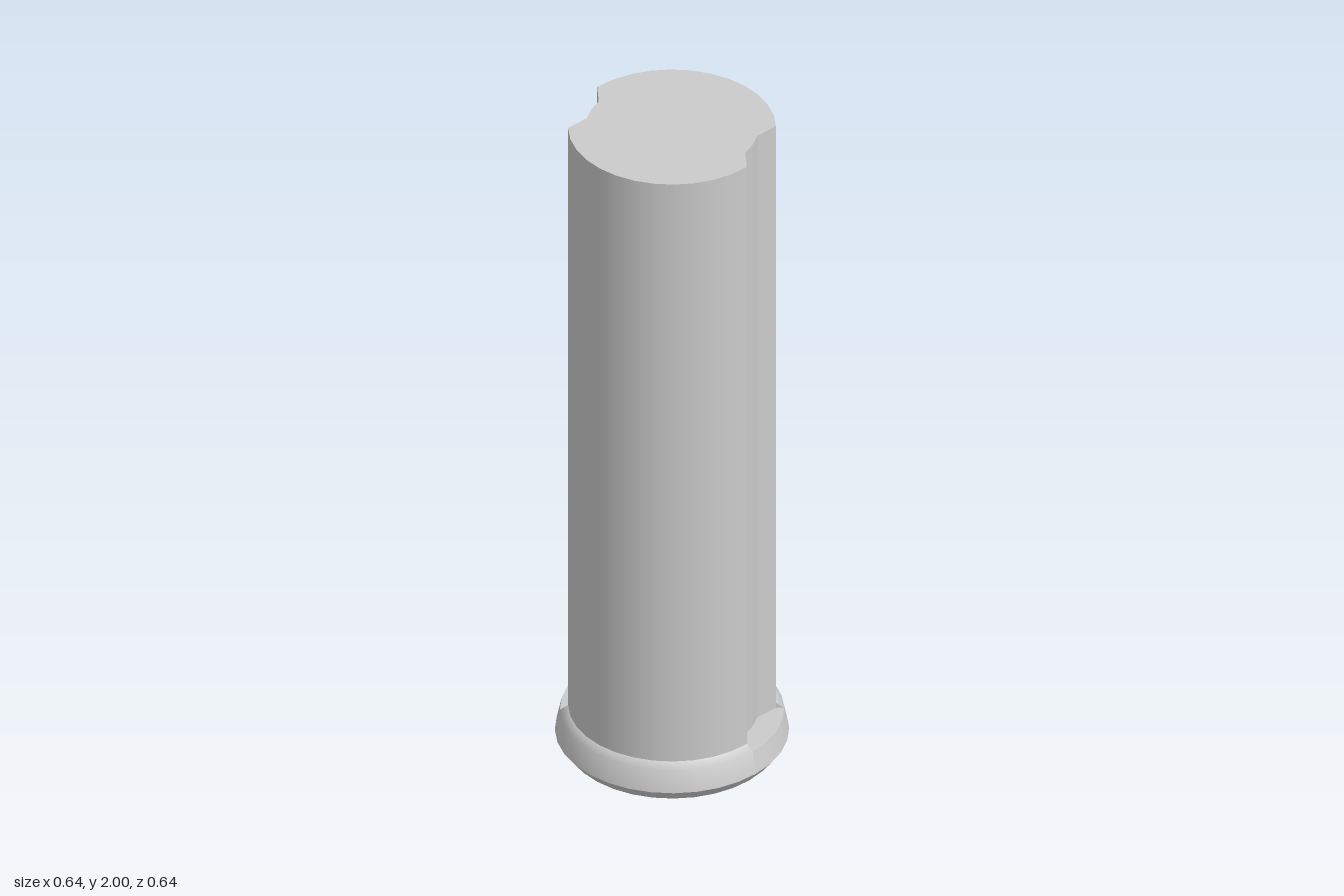
import * as THREE from 'three';

const STEP = Math.PI / 16;               // 32 sides around
const R = 0.283, RIM = 0.305, FLOOR = 0.1, SHOULDER = 0.115, TOP = 2;
const NOTCH = 2 * STEP;                  // half angle of each groove
const v2 = (x, y) => new THREE.Vector2(x, y);

export function createModel() {
  const group = new THREE.Group();
  const material = new THREE.MeshStandardMaterial({ color: 0xcccccc, side: THREE.DoubleSide });
  const add = (name, geometry, parent = group) => {
    const mesh = new THREE.Mesh(geometry, material);
    mesh.name = name;
    parent.add(mesh);
    return mesh;
  };
  const lathe = (points, start = 0, sides = 32) =>
    new THREE.LatheGeometry(points.map(p => v2(...p)), sides, start, sides * STEP);

  // Base: flat underside and lower chamfer
  const underside = add('underside', new THREE.CircleGeometry(0.292, 32));
  underside.rotation.x = Math.PI / 2;
  add('baseChamfer', lathe([[0.292, 0], [0.319, 0.035]]));

  // Front and back halves of the shaft, with the full collar around them
  for (const [side, mid] of [['front', 0], ['back', Math.PI]]) {
    const start = mid - 6 * STEP;
    add(side + 'Collar', lathe([[0.319, 0.035], [RIM, FLOOR], [R, SHOULDER]], start, 12));
    add(side + 'ShaftWall', lathe([[R, SHOULDER], [R, TOP]], start, 12));
  }

  // Groove section on the +x side, from front to back
  const cx = R * Math.cos(NOTCH), cz = R * Math.sin(NOTCH);
  const groove = [[cx, cz], [0.232, 0.045], [0.236, 0], [0.232, -0.045], [cx, -cz]];

  // Grooves: the left one is the right one turned half way round
  for (const [side, turn] of [['left', 0], ['right', Math.PI]]) {
    const part = new THREE.Group();
    part.name = side + 'Groove';
    part.rotation.y = turn;
    group.add(part);

    add(side + 'CollarSection', lathe([[0.319, 0.035], [RIM, FLOOR]], Math.PI / 2 - NOTCH, 4), part);

    // Flat-sided groove walls
    const pos = [];
    for (let i = 0; i < groove.length - 1; i++) {
      const [ax, az] = groove[i], [bx, bz] = groove[i + 1];
      pos.push(ax, FLOOR, az, bx, FLOOR, bz, bx, TOP, bz, ax, FLOOR, az, bx, TOP, bz, ax, TOP, az);
    }
    // Small end walls where the groove cuts the collar
    for (const s of [1, -1]) {
      const c = Math.cos(NOTCH), n = Math.sin(NOTCH) * s;
      const tri = [[R * c, FLOOR, R * n], [R * c, SHOULDER, R * n], [RIM * c, FLOOR, RIM * n]];
      pos.push(...(s > 0 ? tri : tri.reverse()).flat());
    }
    const walls = new THREE.BufferGeometry();
    walls.setAttribute('position', new THREE.Float32BufferAttribute(pos, 3));
    walls.computeVertexNormals();
    add(side + 'GrooveWalls', walls, part);

    // Groove floor
    const outline = groove.map(([x, z]) => v2(x, -z));
    for (let i = 2; i >= -2; i--) outline.push(v2(RIM * Math.cos(i * STEP), RIM * Math.sin(i * STEP)));
    const floor = add(side + 'GrooveFloor', new THREE.ShapeGeometry(new THREE.Shape(outline)), part);
    floor.rotation.x = -Math.PI / 2;
    floor.position.y = FLOOR;
  }

  // Top cap: arcs joined by the two groove sections
  const cap = [];
  for (const s of [1, -1]) {
    groove.forEach(([x, z]) => cap.push(v2(s * x, -s * z)));
    for (let i = 3; i < 14; i++) cap.push(v2(s * R * Math.cos(i * STEP), s * R * Math.sin(i * STEP)));
  }
  const top = add('topCap', new THREE.ShapeGeometry(new THREE.Shape(cap)));
  top.rotation.x = -Math.PI / 2;
  top.position.y = TOP;

  return group;
}
